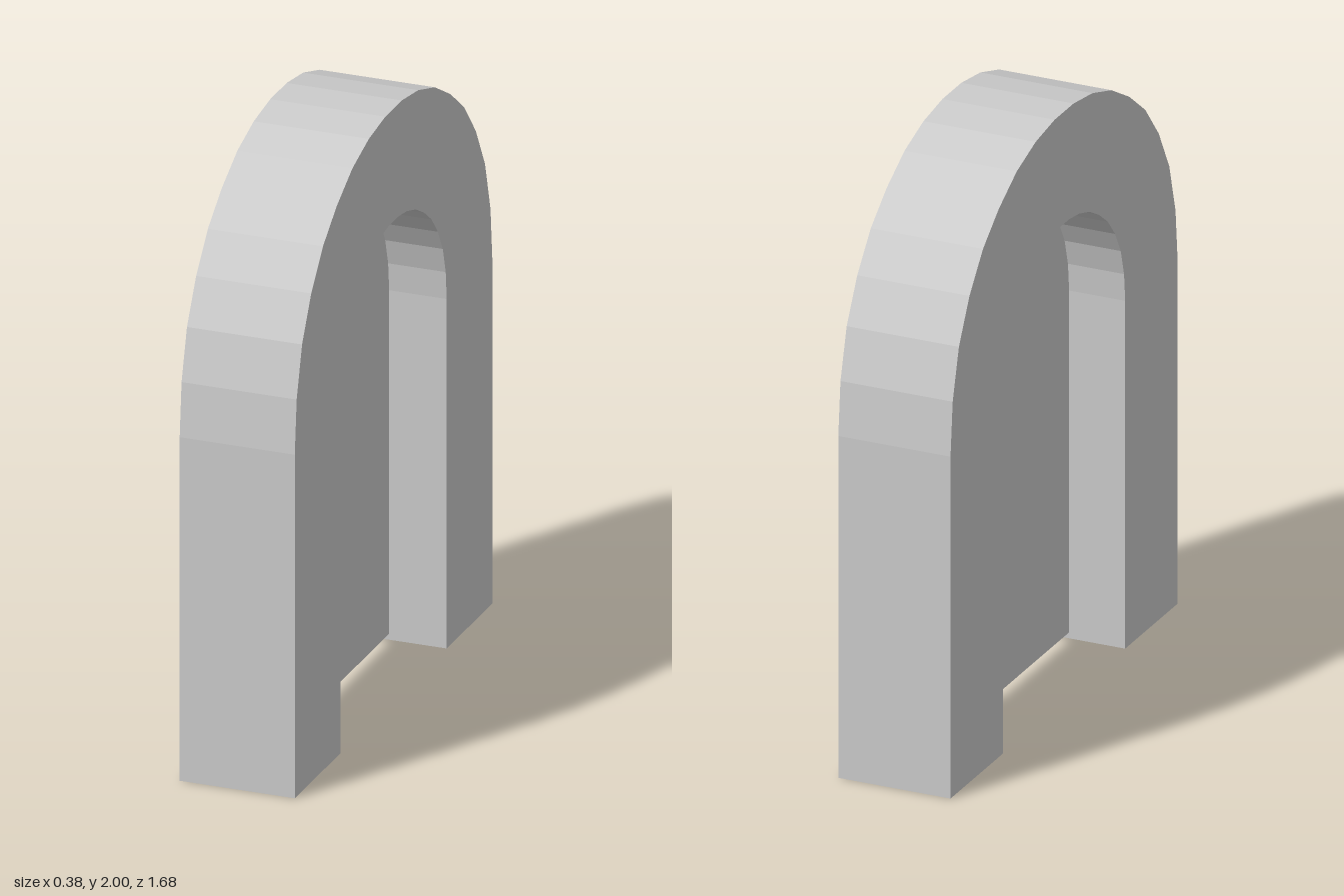
import * as THREE from 'three';

const WIDTH = 0.385;
const INNER = 0.452;   // half width of the opening
const SPRING = 1.16;   // height where the outer curve begins

// Half of the faceted outer curve, from the spring line up to the crown
const OUTER = [
  [0.84, 1.16], [0.824, 1.34], [0.778, 1.508], [0.7, 1.65], [0.6, 1.77],
  [0.483, 1.86], [0.35, 1.935], [0.21, 1.98], [0.07, 2.0],
];

// Mirror a half curve into a full one running from +z to -z
const mirrored = (half) => [...half, ...half.map(([z, y]) => [-z, y]).reverse()];

const toShape = (points) => new THREE.Shape(points.map(([z, y]) => new THREE.Vector2(z, y)));

export function createModel() {
  const group = new THREE.Group();
  const outer = mirrored(OUTER);

  // The opening repeats the outer curve at a smaller scale
  const inner = mirrored(OUTER.map(([z, y]) => [
    z * INNER / 0.84,
    1.18 + (y - SPRING) * 0.44 / 0.84,
  ]));

  // Arch with two legs
  const archShape = toShape([
    [0.84, 0], ...outer, [-0.84, 0],
    [-INNER, 0], ...[...inner].reverse(), [INNER, 0],
  ]);
  const archGeometry = new THREE.ExtrudeGeometry(archShape, { depth: WIDTH, bevelEnabled: false });
  archGeometry.translate(0, 0, -WIDTH / 2).rotateY(Math.PI / 2);
  const arch = new THREE.Mesh(
    archGeometry,
    new THREE.MeshStandardMaterial({ color: 0xcccccc, flatShading: true }),
  );
  arch.name = 'archFrame';
  group.add(arch);

  // Thin panel in the middle of the opening, just clear of the ground
  const panelGeometry = new THREE.ShapeGeometry(toShape([[INNER, 0.02], ...inner, [-INNER, 0.02]]));
  panelGeometry.rotateY(Math.PI / 2);
  const panel = new THREE.Mesh(
    panelGeometry,
    new THREE.MeshStandardMaterial({ color: 0xcccccc, side: THREE.DoubleSide }),
  );
  panel.name = 'doorPanel';
  group.add(panel);

  return group;
}
